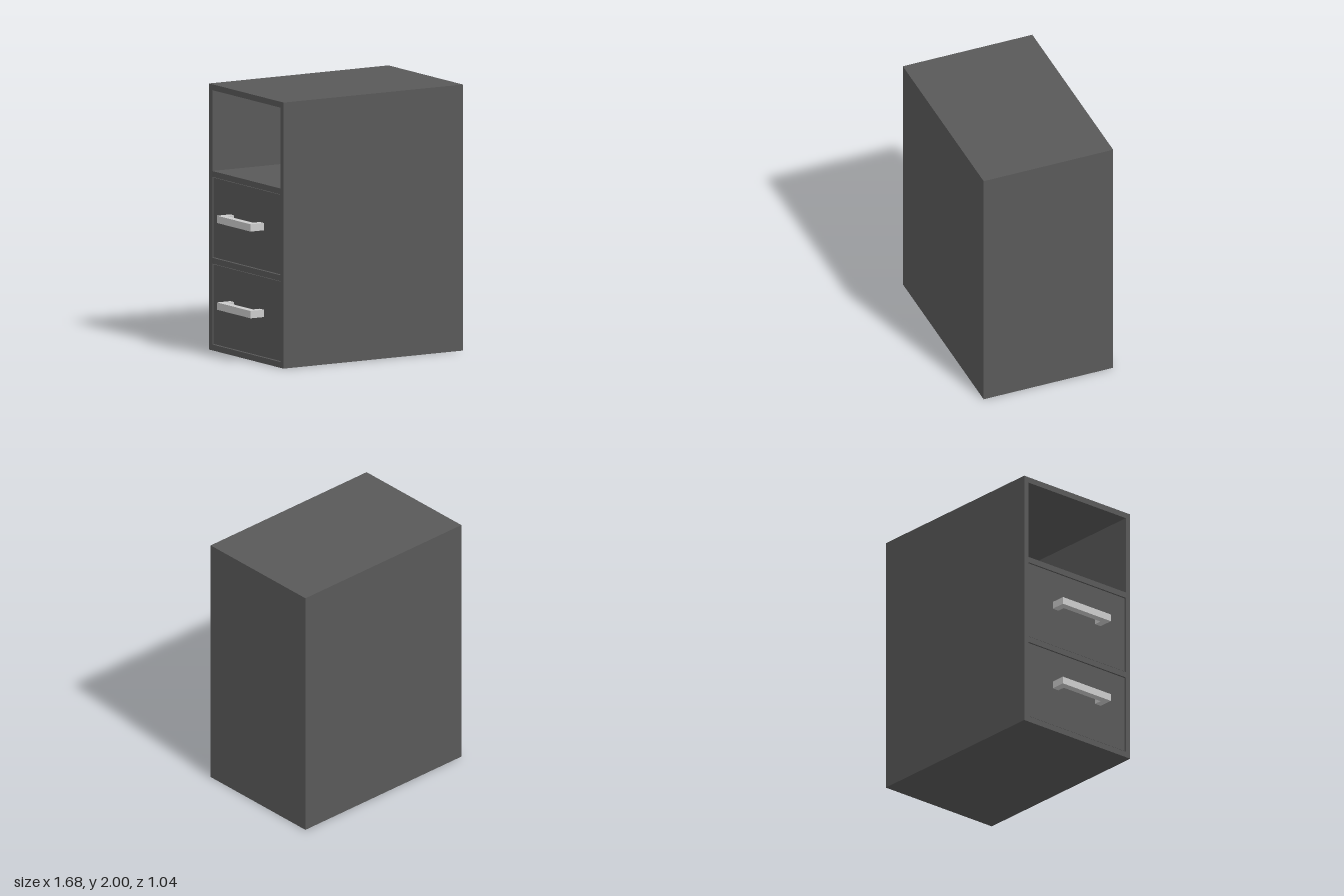
import * as THREE from 'three';

const dark = new THREE.MeshStandardMaterial({ color: 0x595959 });
const grey = new THREE.MeshStandardMaterial({ color: 0xcccccc });

// Box given by its lower and upper corners
function box(name, [x0, y0, z0], [x1, y1, z1], material = dark) {
  const mesh = new THREE.Mesh(new THREE.BoxGeometry(x1 - x0, y1 - y0, z1 - z0), material);
  mesh.position.set((x0 + x1) / 2, (y0 + y1) / 2, (z0 + z1) / 2);
  mesh.name = name;
  return mesh;
}

const X0 = -0.73, X1 = 0.84, Z = 0.52, H = 2, T = 0.044;
const BAY = (H - 4 * T) / 3; // three equal bays between four boards
const GAP = 0.005, RECESS = 0.006;

// U-shaped pull: its legs run in x and its grip runs in z
function handle(y) {
  const shape = new THREE.Shape();
  const a = 0.235, b = 0.18, wall = X0 + RECESS;
  [[wall, -a], [-0.84, -a], [-0.84, a], [wall, a], [wall, b], [-0.785, b], [-0.785, -b], [wall, -b]]
    .forEach(([x, z], i) => (i ? shape.lineTo(x, z) : shape.moveTo(x, z)));
  const geometry = new THREE.ExtrudeGeometry(shape, { depth: 0.055, bevelEnabled: false });
  geometry.rotateX(-Math.PI / 2);
  const mesh = new THREE.Mesh(geometry, grey);
  mesh.position.y = y;
  mesh.name = 'handle';
  return mesh;
}

// Inset drawer: front panel, open tray and pull
function drawer(name, y) {
  const g = new THREE.Group();
  g.name = name;
  const w = Z - T - GAP, lo = y + GAP, hi = y + BAY - GAP;
  const f = X0 + RECESS, back = X1 - T - 0.02, t = 0.03, rim = hi - 0.08;
  g.add(box('drawerFront', [f, lo, -w], [f + T, hi, w]));
  g.add(box('drawerBottom', [f + T, lo, -w], [back, lo + t, w]));
  g.add(box('drawerBack', [back - t, lo + t, -w], [back, rim, w]));
  for (const s of [-1, 1]) {
    const side = box('drawerSide', [f + T, lo + t, w - t], [back - t, rim, w]);
    side.position.z *= s;
    g.add(side);
  }
  g.add(handle(y + BAY / 2));
  return g;
}

export function createModel() {
  const model = new THREE.Group();
  model.name = 'drawerCabinet';

  // Carcass: top and bottom boards, sides and back
  model.add(box('bottomBoard', [X0, 0, -Z], [X1, T, Z]));
  model.add(box('topBoard', [X0, H - T, -Z], [X1, H, Z]));
  model.add(box('sidePanel', [X0, T, Z - T], [X1, H - T, Z]));
  model.add(box('sidePanel', [X0, T, -Z], [X1, H - T, T - Z]));
  model.add(box('backPanel', [X1 - T, T, T - Z], [X1, H - T, Z - T]));

  // Dividing shelves, with the top bay left open
  for (const i of [1, 2]) {
    const y = i * (BAY + T);
    model.add(box('shelf', [X0, y, T - Z], [X1 - T, y + T, Z - T]));
  }

  model.add(drawer('lowerDrawer', T));
  model.add(drawer('upperDrawer', 2 * T + BAY));
  return model;
}
